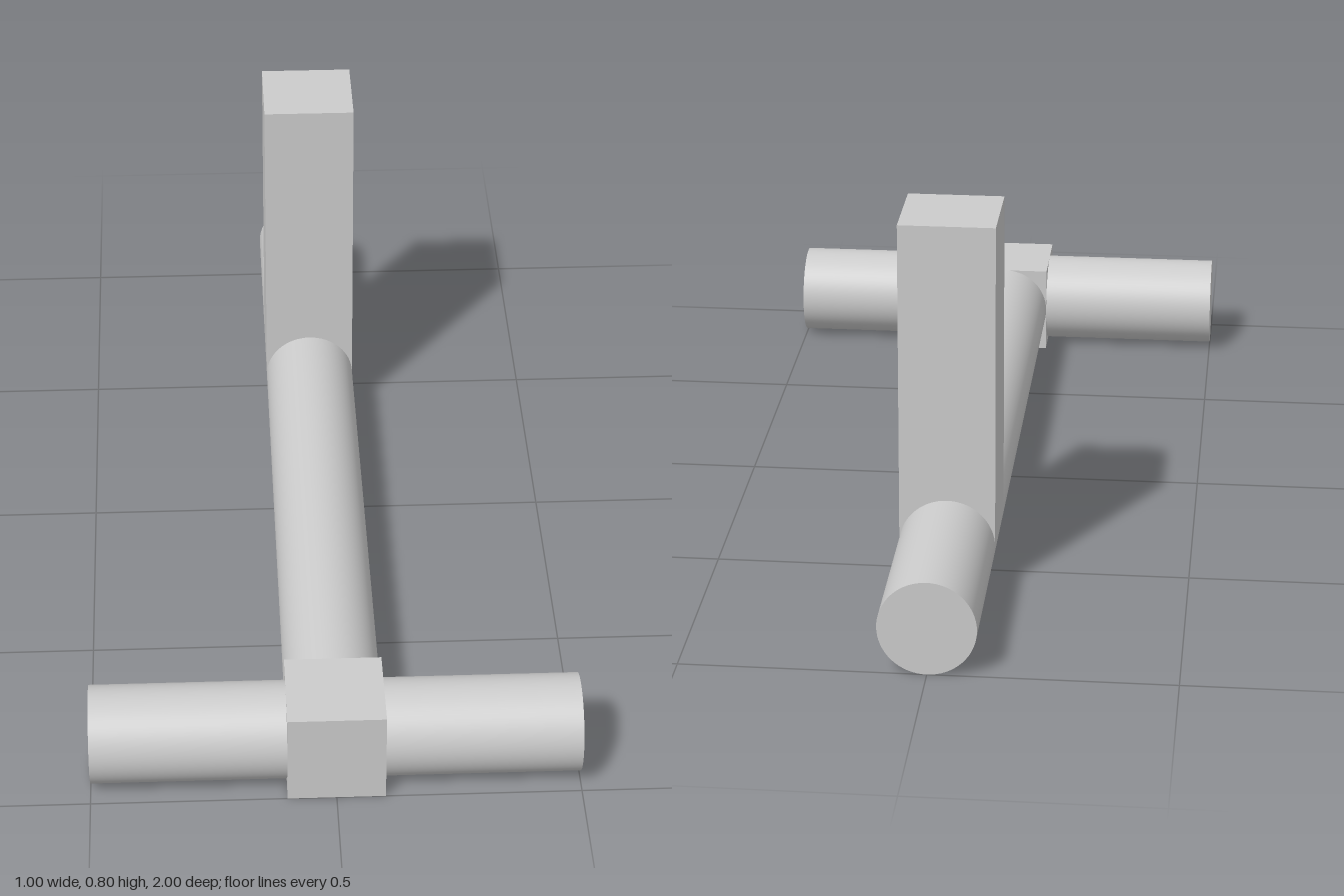
import * as THREE from 'three';

export function createModel() {
  const model = new THREE.Group();
  const grey = new THREE.MeshStandardMaterial({ color: 0xcccccc });
  grey.name = 'light grey';
  const R = 0.1; // rod radius, also half the block width

  const add = (name, geometry, x, y, z) => {
    const mesh = new THREE.Mesh(geometry, grey);
    mesh.name = name;
    mesh.position.set(x, y, z);
    model.add(mesh);
  };
  const rod = (length) => new THREE.CylinderGeometry(R, R, length, 64);

  // long rod running front to back, ending at the joint block
  add('mainRod', rod(1.8).rotateX(Math.PI / 2), 0, R, -0.1);

  // cubic joint at the front
  add('jointBlock', new THREE.BoxGeometry(2 * R, 2 * R, 2 * R), 0, R, 0.9);

  // cross handle, one arm on each side of the joint
  for (const side of [1, -1]) {
    add(side > 0 ? 'leftArm' : 'rightArm', rod(0.4).rotateZ(Math.PI / 2), side * 0.3, R, 0.9);
  }

  // square post rising from the rod's axis near the back
  add('post', new THREE.BoxGeometry(2 * R, 0.7, 2 * R), 0, 0.45, -0.5);

  return model;
}
